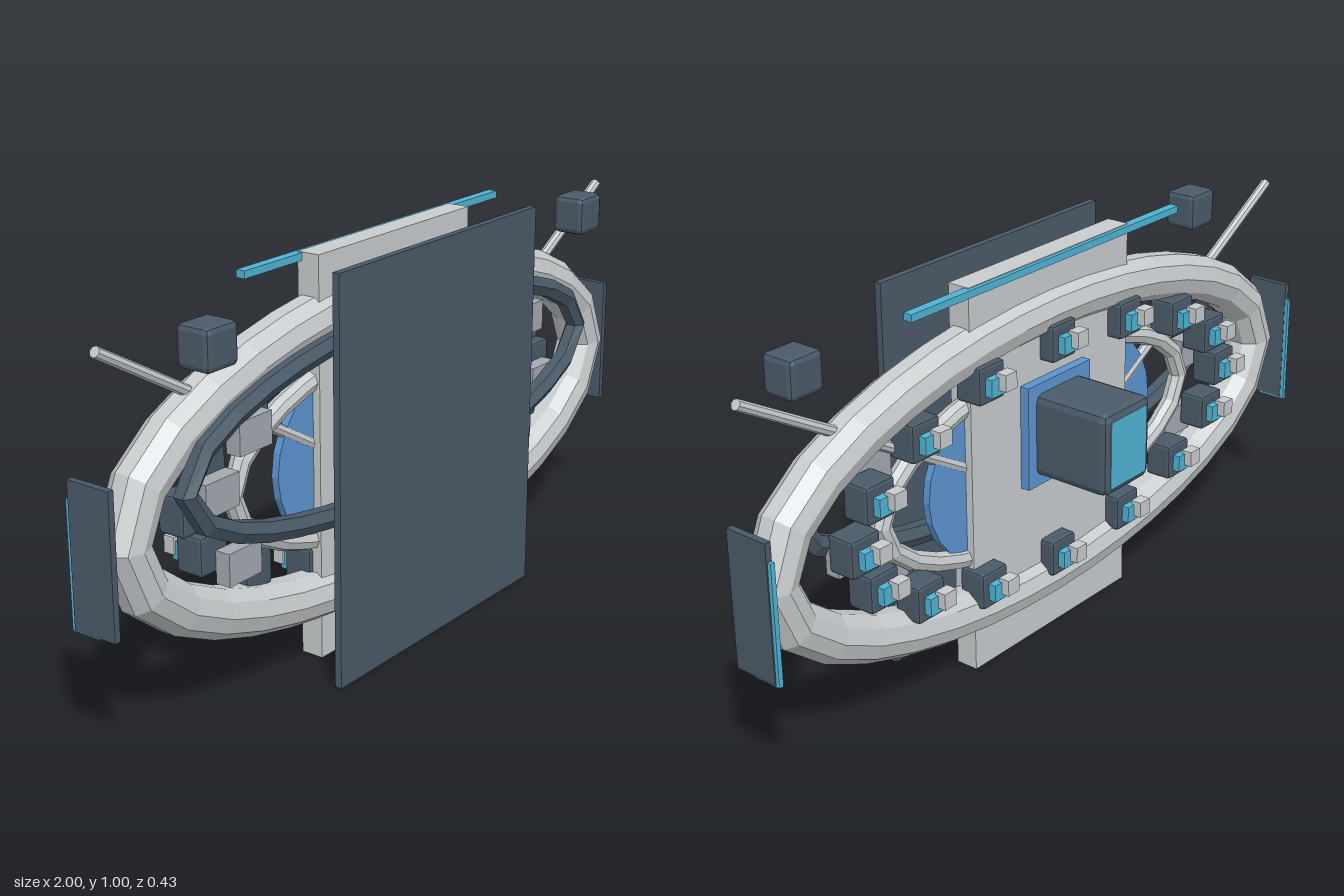
import * as THREE from 'three';
import { RoundedBoxGeometry } from 'three/addons/geometries/RoundedBoxGeometry.js';

// Closed ellipse in the xy plane, used as a sweep path
class EllipsePath extends THREE.Curve {
  constructor(cx, cy, z, rx, ry) {
    super();
    Object.assign(this, { cx, cy, z, rx, ry });
  }
  getPoint(t, target = new THREE.Vector3()) {
    const a = t * Math.PI * 2;
    return target.set(this.cx + this.rx * Math.cos(a), this.cy + this.ry * Math.sin(a), this.z);
  }
}

function material(name, color) {
  const m = new THREE.MeshStandardMaterial({ color });
  m.name = name;
  m.flatShading = true;
  return m;
}

export function createModel() {
  const model = new THREE.Group();
  model.name = 'ringStation';

  const light = material('lightGrey', 0xc8ccce);
  const slabGrey = material('midGrey', 0xa4a9b1);
  const dark = material('darkSlate', 0x4a5a68);
  const cyan = material('cyan', 0x4fb4d4);
  const blue = material('blue', 0x5c94d0);

  const add = (name, geometry, mat, x = 0, y = 0, z = 0, parent = model) => {
    const mesh = new THREE.Mesh(geometry, mat);
    mesh.name = name;
    mesh.position.set(x, y, z);
    parent.add(mesh);
    return mesh;
  };
  const box = (name, w, h, d, mat, x, y, z, parent) =>
    add(name, new THREE.BoxGeometry(w, h, d), mat, x, y, z, parent);
  const rounded = (name, w, h, d, r, mat, x, y, z, parent) =>
    add(name, new RoundedBoxGeometry(w, h, d, 1, r), mat, x, y, z, parent);
  const ring = (name, cy, z, rx, ry, tube, segs, sides, mat) =>
    add(name, new THREE.TubeGeometry(new EllipsePath(0, cy, z, rx, ry), segs, tube, sides, true), mat);

  // Elliptical rings
  ring('outerRing', 0.5, 0.048, 0.925, 0.36, 0.062, 32, 10, light);
  ring('frontRing', 0.587, 0.11, 0.795, 0.227, 0.028, 32, 6, dark);
  ring('innerRing', 0.5, 0.05, 0.58, 0.23, 0.025, 32, 8, light);

  // Central wall, front panel and top light bar
  box('wall', 0.6, 1, 0.06, light, 0, 0.5, 0.05);
  box('frontPanel', 0.8, 1, 0.018, dark, 0, 0.5, 0.206);
  box('topLightBar', 1, 0.018, 0.024, cyan, 0, 0.989, 0.021);

  // Oval pane crossing the wall
  const pane = add('ovalPane', new THREE.CylinderGeometry(1, 1, 0.02, 32), blue, 0, 0.5, 0.05);
  pane.rotation.x = Math.PI / 2;
  pane.scale.set(0.43, 1, 0.29);

  // Central housing with rear screen and mounting plate
  rounded('housing', 0.18, 0.215, 0.412, 0.02, dark, 0, 0.565, -0.009);
  box('rearScreen', 0.14, 0.175, 0.004, cyan, 0, 0.565, -0.2145);
  box('mountingPlate', 0.24, 0.27, 0.03, blue, 0, 0.565, 0.01);

  // Ring of modules, each with a cyan base and a light knob behind
  const modules = new THREE.Group();
  modules.name = 'modules';
  model.add(modules);
  for (let i = 0; i < 16; i++) {
    const a = (i / 16) * Math.PI * 2;
    const x = 0.7 * Math.cos(a);
    const y = 0.5 + 0.29 * Math.sin(a);
    rounded('module', 0.09, 0.095, 0.075, 0.008, dark, x, y, 0.017, modules);
    box('moduleBase', 0.06, 0.045, 0.026, cyan, x - 0.005, y - 0.003, -0.027, modules);
    box('moduleKnob', 0.04, 0.042, 0.03, light, x - 0.02, y + 0.008, -0.046, modules);
  }

  // Grey slabs on the front, paired by half-turn symmetry
  for (const [x, y] of [[0.59, 0.145], [0.66, -0.04], [0.545, -0.15]]) {
    for (const s of [1, -1]) {
      box('frontSlab', 0.11, 0.08, 0.04, slabGrey, s * x, 0.5 + s * y, 0.075);
    }
  }

  // Mirrored side panels, corner cubes and rods
  for (const s of [1, -1]) {
    const side = new THREE.Group();
    side.name = s > 0 ? 'leftSide' : 'rightSide';
    model.add(side);
    box('endPanel', 0.016, 0.34, 0.117, dark, s * 0.992, 0.485, 0.029, side);
    box('endLight', 0.012, 0.3, 0.08, cyan, s * 0.991, 0.46, 0.001, side);
    rounded('cornerCube', 0.1, 0.1, 0.09, 0.014, dark, s * 0.74, 0.911, 0.135, side);

    const start = new THREE.Vector3(s * 0.25, 0.518, 0.05);
    const end = new THREE.Vector3(s * 0.98, 0.938, 0.05);
    const rod = add('rod', new THREE.CylinderGeometry(0.013, 0.015, start.distanceTo(end), 8), light, 0, 0, 0, side);
    rod.position.copy(start).lerp(end, 0.5);
    rod.quaternion.setFromUnitVectors(new THREE.Vector3(0, 1, 0), end.clone().sub(start).normalize());
  }

  return model;
}
